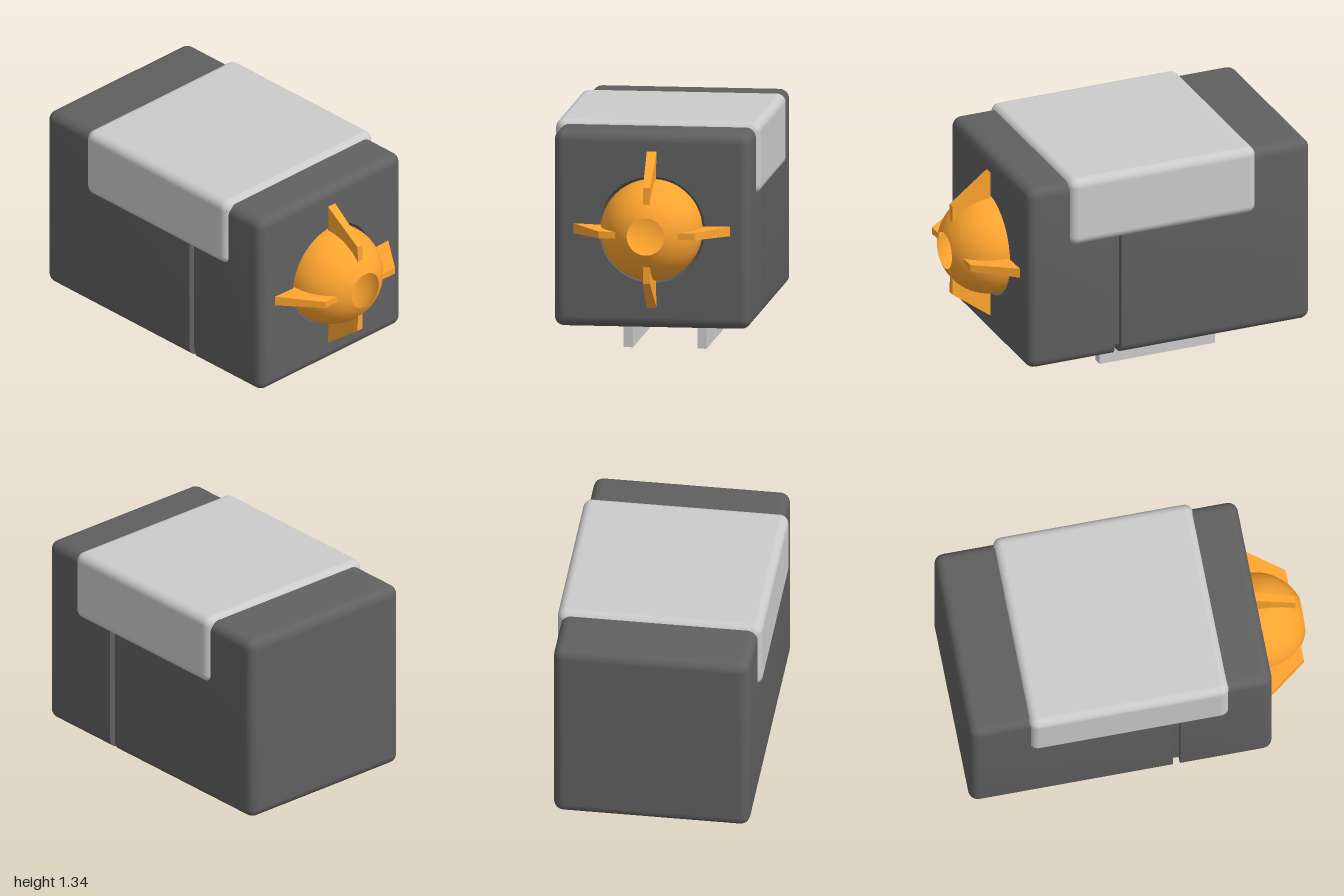
import * as THREE from 'three';
import { toCreasedNormals } from 'three/addons/utils/BufferGeometryUtils.js';
import { RoundedBoxGeometry } from 'three/addons/geometries/RoundedBoxGeometry.js';
import { ConvexGeometry } from 'three/addons/geometries/ConvexGeometry.js';

const BODY = { x0: -1, x1: 0.73, y: 0.755, halfY: 0.555, halfZ: 0.555, r: 0.055 };
const AXIS_Y = 0.76;

// Body shell: rounded-rectangle sections along x, each inset from the full outline
function shellGeometry() {
  const { x0, x1, y, halfY, halfZ, r } = BODY;
  const steps = 6, sections = [];
  for (let i = 0; i <= steps; i++) {
    const a = (i / steps) * Math.PI / 2;
    sections.push([x0 + r * (1 - Math.cos(a)), r * (1 - Math.sin(a))].map((v) => v));
  }
  // groove running round the body
  sections.push([0.16, 0], [0.16, 0.035], [0.2, 0.035], [0.2, 0]);
  for (let i = steps; i >= 0; i--) {
    const a = (i / steps) * Math.PI / 2;
    sections.push([x1 - r * (1 - Math.cos(a)), r * (1 - Math.sin(a))]);
  }
  const positions = [], index = [], n = 4 * (steps + 1);
  for (const [x, inset] of sections) {
    for (let c = 0; c < 4; c++) {
      const cz = (c === 0 || c === 3 ? 1 : -1) * (halfZ - r);
      const cy = (c < 2 ? 1 : -1) * (halfY - r);
      for (let i = 0; i <= steps; i++) {
        const a = (c + i / steps) * Math.PI / 2;
        positions.push(x, y + cy + (r - inset) * Math.sin(a), cz + (r - inset) * Math.cos(a));
      }
    }
  }
  for (let s = 0; s < sections.length - 1; s++) {
    for (let i = 0; i < n; i++) {
      const a = s * n + i, b = s * n + (i + 1) % n;
      index.push(a, a + n, b, b, a + n, b + n);
    }
  }
  const g = new THREE.BufferGeometry();
  g.setAttribute('position', new THREE.Float32BufferAttribute(positions, 3));
  g.setIndex(index);
  return toCreasedNormals(g, 0.6);
}

// Flat end of the body, optionally with a round opening
function endShape(holeRadius) {
  const w = BODY.halfZ - BODY.r, h = BODY.halfY - BODY.r;
  const shape = new THREE.Shape();
  shape.moveTo(-w, -h).lineTo(w, -h).lineTo(w, h).lineTo(-w, h).closePath();
  if (holeRadius) {
    shape.holes.push(new THREE.Path().absarc(0, AXIS_Y - BODY.y, holeRadius, 0, Math.PI * 2, true));
  }
  return new THREE.ShapeGeometry(shape, 48);
}

// Part of a sphere turned about the x axis, between two latitudes
function sphereZone(radius, from, to) {
  const points = [];
  for (let i = 0; i <= 28; i++) {
    const a = from + (to - from) * i / 28;
    points.push(new THREE.Vector2(Math.max(0, radius * Math.cos(a)), radius * Math.sin(a)));
  }
  return new THREE.LatheGeometry(points, 48).rotateZ(-Math.PI / 2);
}

export function createModel() {
  const model = new THREE.Group();
  const dark = new THREE.MeshStandardMaterial({ color: 0x606060, side: THREE.DoubleSide });
  const grey = new THREE.MeshStandardMaterial({ color: 0xcccccc });
  const orange = new THREE.MeshStandardMaterial({ color: 0xffa530, side: THREE.DoubleSide });
  const add = (name, geometry, material, x = 0, y = 0, z = 0, parent = model) => {
    const mesh = new THREE.Mesh(geometry, material);
    mesh.name = name;
    mesh.position.set(x, y, z);
    parent.add(mesh);
    return mesh;
  };

  // Body with spherical socket
  const socketRadius = 0.302;
  add('bodyShell', shellGeometry(), dark);
  add('bodyEndPlain', endShape(0).rotateY(-Math.PI / 2), dark, BODY.x0, BODY.y, 0);
  add('bodyEndOpening', endShape(socketRadius).rotateY(Math.PI / 2), dark, BODY.x1, BODY.y, 0);
  add('socket', sphereZone(socketRadius, -Math.PI / 2, 0), dark, BODY.x1, AXIS_Y, 0);

  // Saddle cover over the top
  add('cover', new RoundedBoxGeometry(1.14, 0.405, 1.16, 5, 0.05), grey, -0.09, 1.1325, 0);

  // Two flat runners below
  for (const side of [1, -1]) {
    add(side > 0 ? 'leftRunner' : 'rightRunner',
      new THREE.BoxGeometry(0.705, 0.24, 0.053), grey, -0.1975, 0.12, side * 0.208);
  }

  // Hollow nozzle ball with four tapered fins
  const nozzle = new THREE.Group();
  nozzle.name = 'nozzle';
  nozzle.position.set(0.735, AXIS_Y, 0);
  model.add(nozzle);
  const ballRadius = 0.286;
  add('nozzleBall', sphereZone(ballRadius, -Math.PI / 2, Math.acos(0.106 / ballRadius)), orange, 0, 0, 0, nozzle);
  const finOutline = [[-0.01, 0.447, 0.028], [0.225, 0.272, 0.02], [0.225, 0.17, 0.018], [-0.01, 0.27, 0.022]];
  const finPoints = finOutline.flatMap(([x, r, half]) =>
    [1, -1].map((s) => new THREE.Vector3(x, r, s * half)));
  for (let i = 0; i < 4; i++) {
    const fin = add('nozzleFin', new ConvexGeometry(finPoints), orange, 0, 0, 0, nozzle);
    fin.rotation.x = i * Math.PI / 2;
  }
  return model;
}
